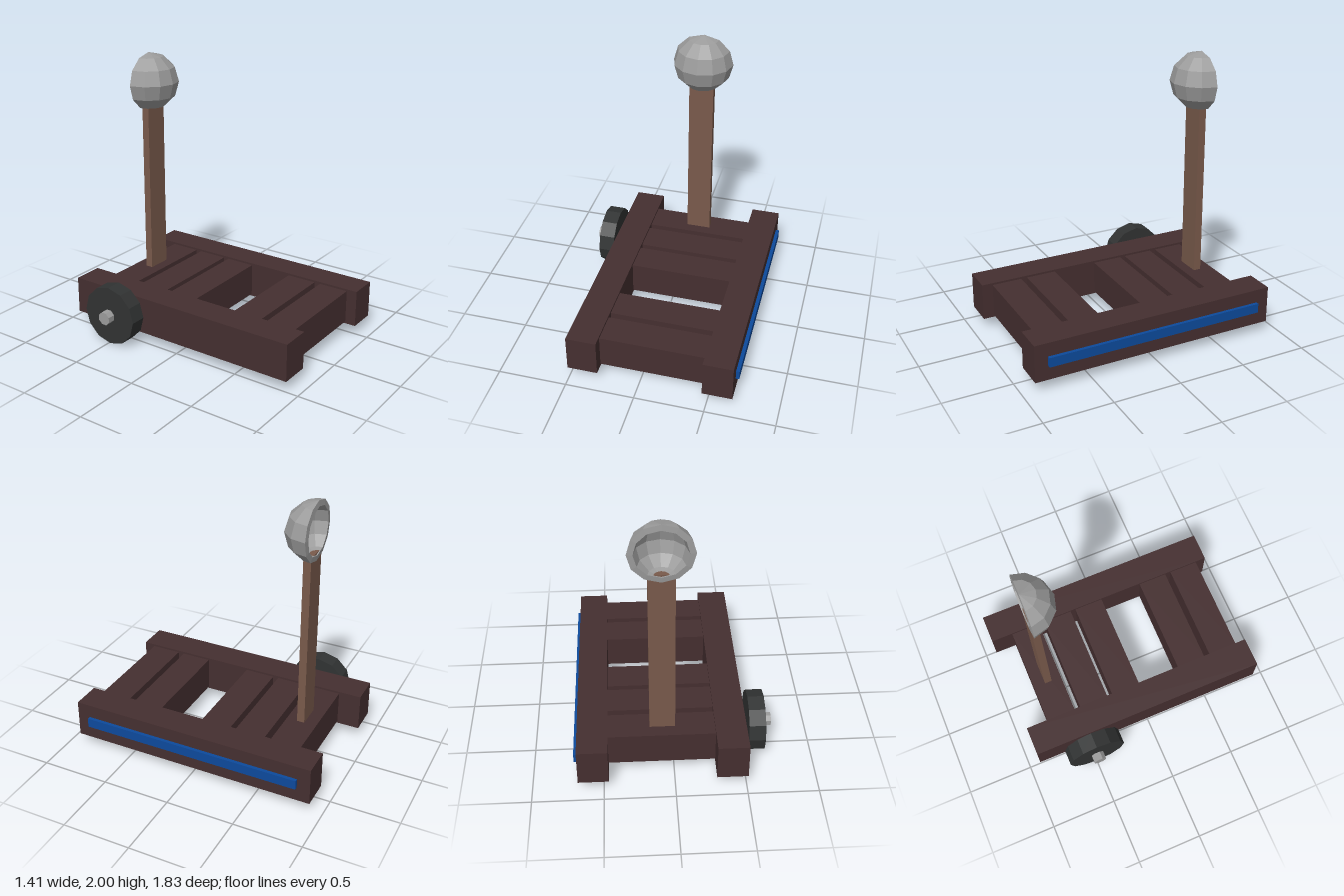
import * as THREE from 'three';

const mat = (name, color) => new THREE.MeshStandardMaterial({ name, color, flatShading: true });

export function createModel() {
  const darkWood = mat('darkWood', 0x452f30);
  const armWood = mat('armWood', 0x795a4b);
  const blue = mat('bluePaint', 0x0d4a9c);
  const rubber = mat('wheelBlack', 0x313333);
  const metal = mat('greyMetal', 0x9c9c9c);
  metal.side = THREE.DoubleSide;

  const model = new THREE.Group();
  model.name = 'catapult';

  const add = (name, geometry, material, parent = model) => {
    const mesh = new THREE.Mesh(geometry, material);
    mesh.name = name;
    parent.add(mesh);
    return mesh;
  };
  // Box given by its limits on each axis
  const box = (name, material, [x0, x1], [y0, y1], [z0, z1]) =>
    add(name, new THREE.BoxGeometry(x1 - x0, y1 - y0, z1 - z0), material)
      .position.set((x0 + x1) / 2, (y0 + y1) / 2, (z0 + z1) / 2);

  // Frame: two long rails joined by five cross beams
  box('rightRail', darkWood, [-0.51, -0.29], [0.085, 0.36], [-0.915, 0.915]);
  box('leftRail', darkWood, [0.465, 0.68], [0.085, 0.36], [-0.915, 0.915]);
  [-0.637, -0.367, -0.102, 0.453, 0.723].forEach((z, i) =>
    box('crossBeam' + (i + 1), darkWood, [-0.29, 0.465], [0.1, 0.345], [z - 0.112, z + 0.112]));

  // Painted strip along the left rail
  box('blueStrip', blue, [0.68, 0.705], [0.19, 0.26], [-0.82, 0.82]);

  // Throwing arm, its tip just inside the cup
  box('throwingArm', armWood, [-0.01, 0.17], [0.33, 1.63], [-0.658, -0.603]);

  // Single wheel with a protruding hub
  const wheel = new THREE.Group();
  wheel.name = 'wheel';
  wheel.position.set(0, 0.222, -0.488);
  model.add(wheel);
  const tyre = add('tyre', new THREE.CylinderGeometry(0.22, 0.22, 0.118, 12), rubber, wheel);
  tyre.rotation.z = Math.PI / 2;
  tyre.position.x = -0.593;
  const hubGeometry = new THREE.CylinderGeometry(0.05, 0.05, 0.12, 8).rotateY(Math.PI / 8);
  const hub = add('hub', hubGeometry, metal, wheel);
  hub.rotation.z = Math.PI / 2;
  hub.position.x = -0.65;

  // Hollow half-sphere cup, open to the back
  const cup = new THREE.Group();
  cup.name = 'cup';
  cup.position.set(0.08, 1.788, -0.661);
  cup.scale.y = 0.965;
  model.add(cup);
  const R = 0.22, r = 0.178;
  const shell = (radius) => new THREE.SphereGeometry(radius, 6, 6, 0, Math.PI);
  add('cupOutside', shell(R), metal, cup);
  add('cupInside', shell(r), metal, cup).position.z = -0.005;

  // Rim between the two shells, its inner edge slightly proud
  const rim = new THREE.RingGeometry(r, R, 12).rotateY(Math.PI);
  const p = rim.attributes.position;
  for (let i = 0; i < p.count; i++) {
    p.setZ(i, Math.hypot(p.getX(i), p.getY(i)) < (r + R) / 2 ? -0.005 : 0);
  }
  rim.computeVertexNormals();
  add('cupRim', rim, metal, cup);

  return model;
}
